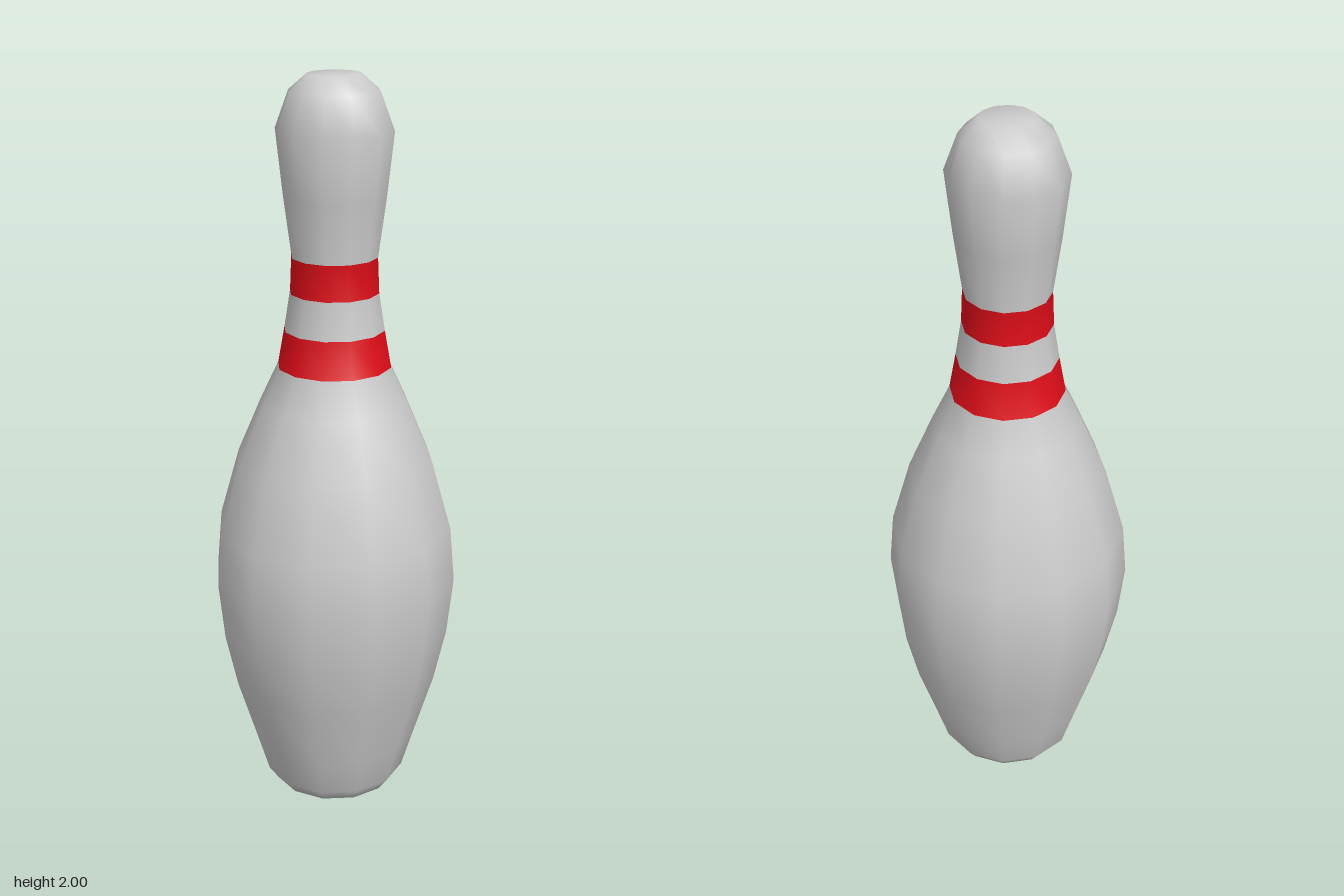
import * as THREE from 'three';

const SIDES = 12;

// Radius and height, from the centre of the base up to the crown
const PROFILE = [
  [0, 0], [0.17, 0.003], [0.197, 0.04], [0.23, 0.15], [0.285, 0.33], [0.318, 0.48],
  [0.335, 0.64], [0.322, 0.79], [0.268, 0.98], [0.2, 1.14], [0.153, 1.24],
  [0.135, 1.34], [0.119, 1.44], [0.115, 1.535], [0.136, 1.69],
  [0.155, 1.86], [0.119, 1.957], [0.07, 2], [0, 2],
].map(([r, y]) => new THREE.Vector2(r, y));

// Parts as ranges of profile rows
const PARTS = [
  ['body', 0, 10, 0xcccccc],
  ['lowerStripe', 10, 11, 0xdd0d18],
  ['neck', 11, 12, 0xcccccc],
  ['upperStripe', 12, 13, 0xdd0d18],
  ['head', 13, 18, 0xcccccc],
];

// Keeps only the faces between two profile rows, so normals stay smooth across parts
function sliceRows(lathe, from, to) {
  const rows = PROFILE.length - 1;
  const source = lathe.index.array;
  const kept = [];
  for (let side = 0; side < SIDES; side++) {
    const start = side * rows * 6;
    kept.push(...source.slice(start + from * 6, start + to * 6));
  }
  const slice = lathe.clone();
  slice.setIndex(kept);
  return slice;
}

export function createModel() {
  const pin = new THREE.Group();
  pin.name = 'bowlingPin';
  const lathe = new THREE.LatheGeometry(PROFILE, SIDES);
  for (const [name, from, to, color] of PARTS) {
    const material = new THREE.MeshStandardMaterial({ color });
    const mesh = new THREE.Mesh(sliceRows(lathe, from, to), material);
    mesh.name = name;
    pin.add(mesh);
  }
  return pin;
}
